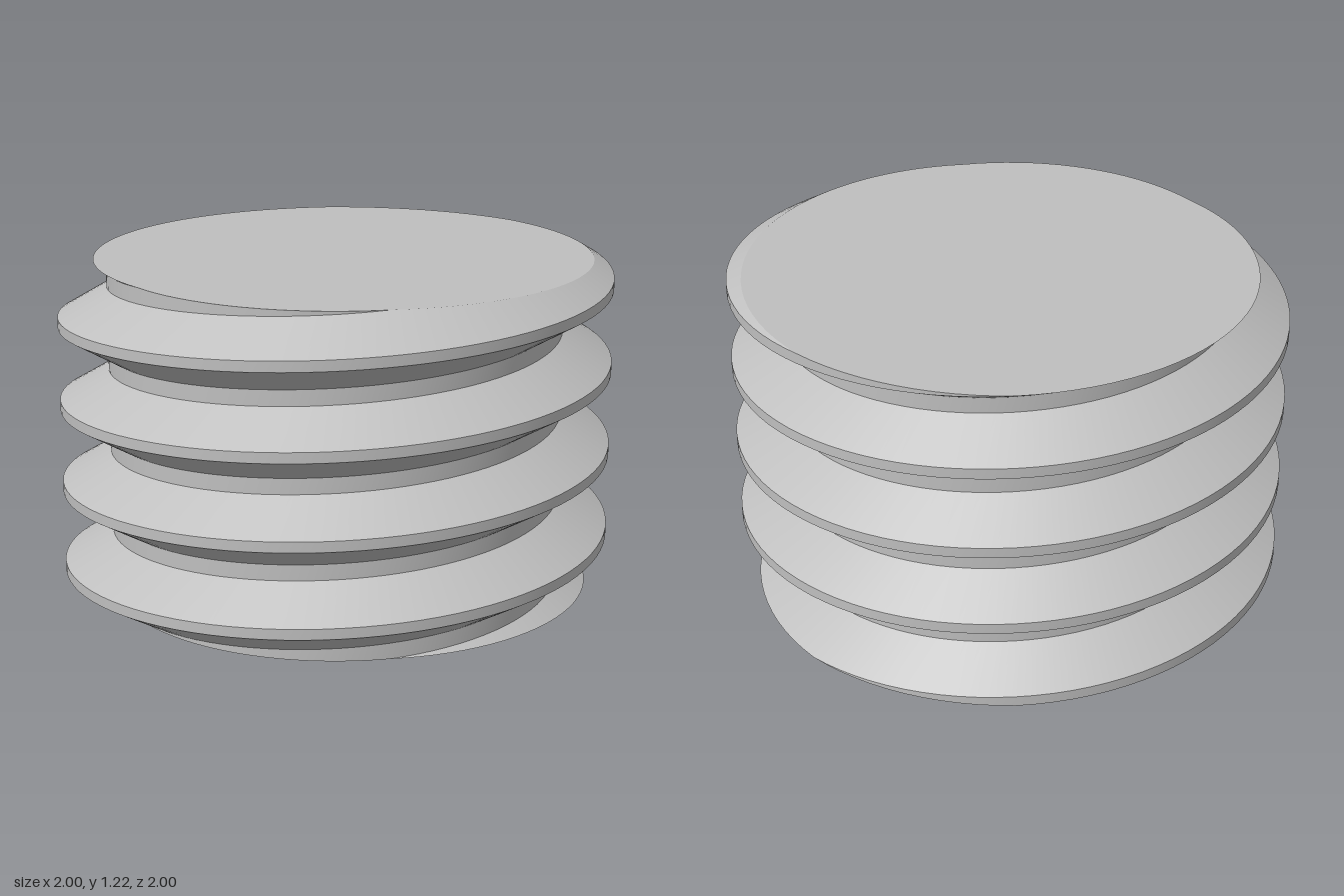
import * as THREE from 'three';

const STEPS = 96;                 // sides per turn
const TURNS = 4;
const PITCH = 0.305;
const HEIGHT = PITCH * TURNS;
const CREST = 1, ROOT = 0.822;

// One pitch of the thread: [height in 1/96 of a pitch, radius]
const PROFILE = [[-6, CREST], [6, CREST], [39, ROOT], [57, ROOT], [90, CREST]];

const place = (step, r, y) => {
  const a = (step / STEPS) * Math.PI * 2;
  return [-Math.sin(a) * r, y, -Math.cos(a) * r];
};

function makeGeometry(positions, indices) {
  const geometry = new THREE.BufferGeometry();
  geometry.setAttribute('position', new THREE.Float32BufferAttribute(positions, 3));
  geometry.setIndex(indices);
  geometry.computeVertexNormals();
  return geometry;
}

// Helical band between two profile points, trimmed flat at both ends
function threadBand([u0, r0], [u1, r1]) {
  const positions = [], indices = [];
  const start = -STEPS, end = STEPS * (TURNS + 1);
  let previousSpan = 0;
  for (let i = start; i <= end; i++) {
    const y0 = (PITCH * (i + u0)) / STEPS;
    const y1 = (PITCH * (i + u1)) / STEPS;
    const ends = [y0, y1].map((y) => THREE.MathUtils.clamp(y, 0, HEIGHT));
    for (const y of ends) {
      const t = THREE.MathUtils.clamp((y - y0) / (y1 - y0), 0, 1);
      positions.push(...place(i, r0 + (r1 - r0) * t, y));
    }
    const span = ends[1] - ends[0];
    if (i > start && (span > 1e-6 || previousSpan > 1e-6)) {
      const n = (i - start) * 2;
      indices.push(n - 2, n, n + 1, n - 2, n + 1, n - 1);
    }
    previousSpan = span;
  }
  return makeGeometry(positions, indices);
}

// Thread radius where a flat end cuts through the helix
function cutRadius(step) {
  let u = (STEPS - step) % STEPS;
  if (u > 90) u -= STEPS;
  const k = PROFILE.findIndex(([top], j) => j > 0 && u <= top);
  const [u0, r0] = PROFILE[k - 1], [u1, r1] = PROFILE[k];
  return r0 + ((r1 - r0) * (u - u0)) / (u1 - u0);
}

function endCap(y, facesUp) {
  const positions = [0, y, 0], indices = [];
  for (let i = 0; i < STEPS; i++) {
    positions.push(...place(i, cutRadius(i), y));
    const a = i + 1, b = ((i + 1) % STEPS) + 1;
    indices.push(0, ...(facesUp ? [a, b] : [b, a]));
  }
  return makeGeometry(positions, indices);
}

export function createModel() {
  const model = new THREE.Group();
  model.name = 'threadedRod';
  const steel = new THREE.MeshStandardMaterial({ color: 0xbfbfbf });
  steel.name = 'lightGrey';

  const add = (name, geometry) => {
    const mesh = new THREE.Mesh(geometry, steel);
    mesh.name = name;
    model.add(mesh);
  };

  // Thread surfaces
  ['threadCrest', 'upperFlank', 'threadRoot', 'lowerFlank'].forEach((name, k) =>
    add(name, threadBand(PROFILE[k], PROFILE[k + 1])));

  // Flat ends
  add('topEnd', endCap(HEIGHT, true));
  add('bottomEnd', endCap(0, false));
  return model;
}
